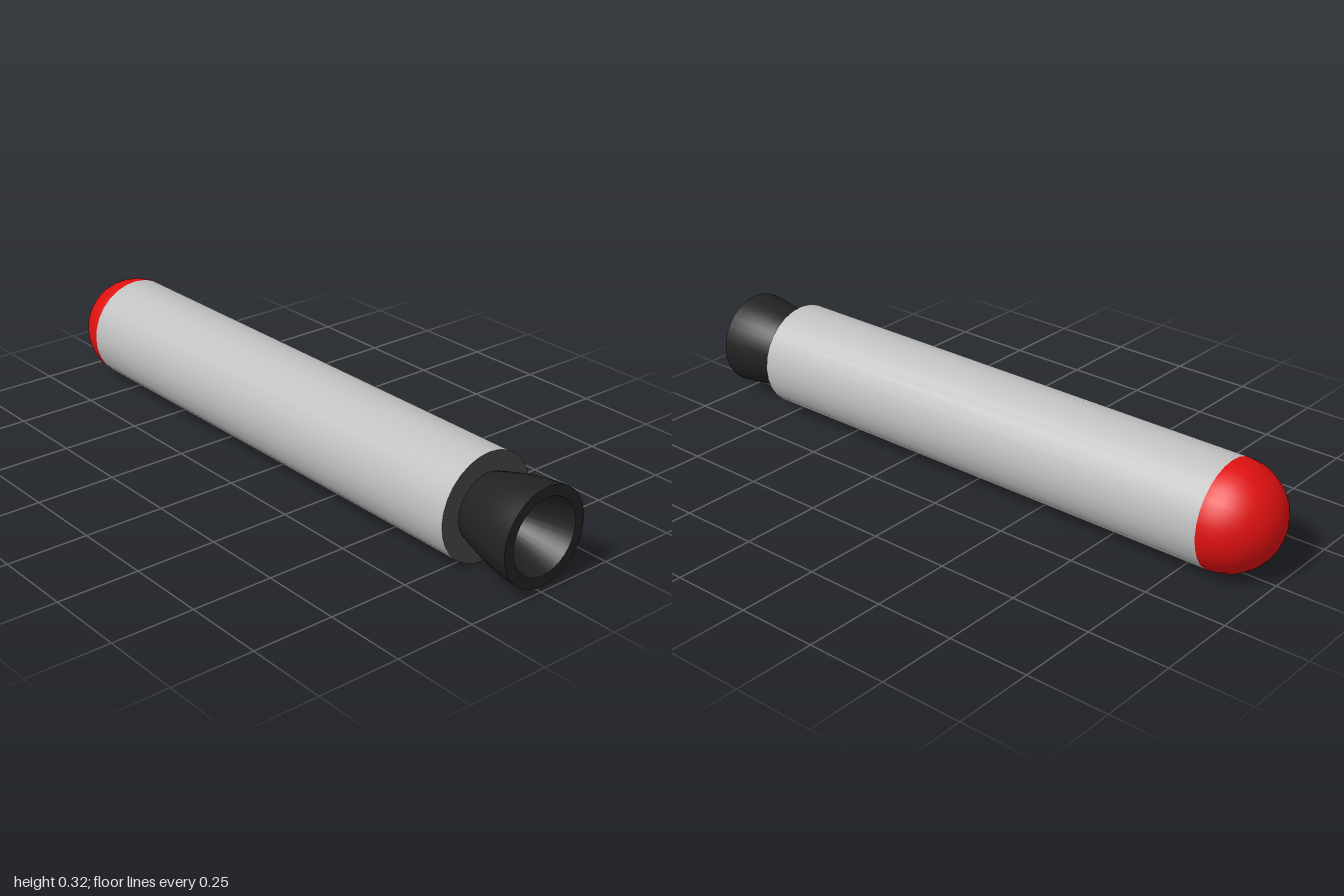
import * as THREE from 'three';

const R = 0.1625; // body radius, also the height of the axis
const BODY_FRONT = 0.79, BODY_BACK = -0.8375;

export function createModel() {
  const mat = (name, color) => {
    const m = new THREE.MeshStandardMaterial({ color });
    m.name = name;
    return m;
  };
  const grey = mat('light grey', 0xc0c0c0);
  const red = mat('red', 0xe01010);
  const plateGrey = mat('dark grey', 0x444444);
  const black = mat('soft black', 0x222222);

  const model = new THREE.Group();
  model.name = 'rocketTube';

  const add = (name, geometry, material, parent = model) => {
    const mesh = new THREE.Mesh(geometry, material);
    mesh.name = name;
    parent.add(mesh);
    return mesh;
  };
  // Shapes are turned about y, then laid along z
  const lathe = (points, sides) =>
    new THREE.LatheGeometry(points.map(([r, z]) => new THREE.Vector2(r, z)), sides).rotateX(Math.PI / 2).translate(0, R, 0);

  // Main tube
  add('body', lathe([[R, BODY_BACK], [R, BODY_FRONT]], 28), grey);

  // Flat plate closing the nozzle end
  add('basePlate', new THREE.CircleGeometry(R, 28).translate(0, R, BODY_FRONT), plateGrey);

  // Rounded nose at the back
  const nose = new THREE.SphereGeometry(R, 28, 14, 0, Math.PI * 2, 0, Math.PI / 2);
  add('nose', nose.rotateX(-Math.PI / 2).translate(0, R, BODY_BACK), red);

  // Bell nozzle: bulging outer wall, flat rim, hollow cone and floor
  const nozzle = new THREE.Group();
  nozzle.name = 'nozzle';
  model.add(nozzle);
  const wall = new THREE.CubicBezierCurve(
    new THREE.Vector2(0.103, BODY_FRONT), new THREE.Vector2(0.125, 0.855),
    new THREE.Vector2(0.143, 0.93), new THREE.Vector2(0.146, 1));
  add('nozzleWall', lathe(wall.getPoints(10).map(p => [p.x, p.y]), 32), black, nozzle);
  add('nozzleRim', new THREE.RingGeometry(0.114, 0.146, 32).translate(0, R, 1), black, nozzle);
  add('nozzleCone', lathe([[0.114, 1], [0.048, 0.81]], 32), black, nozzle);
  add('nozzleFloor', new THREE.CircleGeometry(0.048, 32).translate(0, R, 0.81), black, nozzle);

  return model;
}
